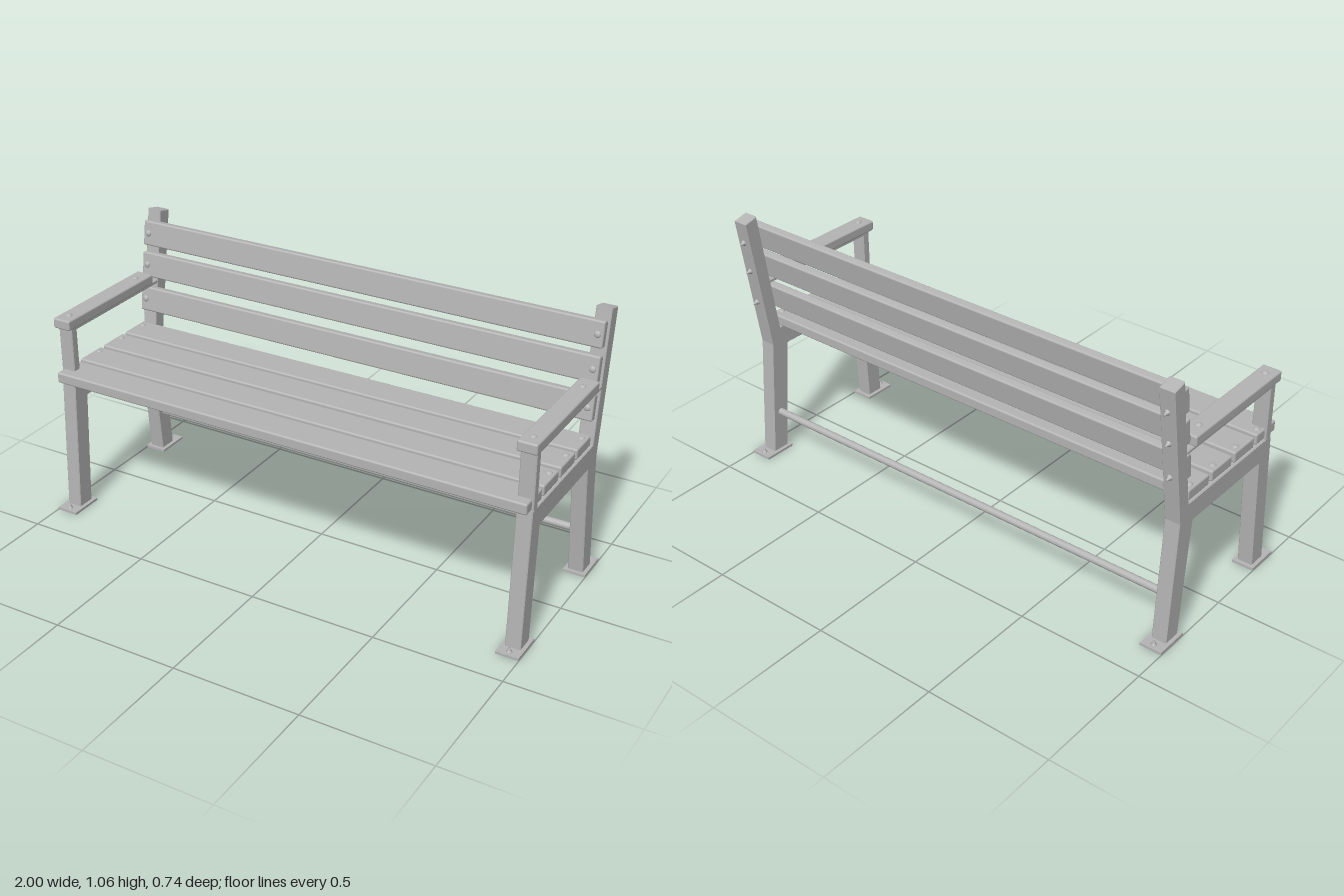
import * as THREE from 'three';
import { RoundedBoxGeometry } from 'three/addons/geometries/RoundedBoxGeometry.js';

const grey = new THREE.MeshStandardMaterial({ color: 0xb4b4b4 });
grey.name = 'plain grey';

const FRAME_X = 0.955;                 // centre of each side frame
const FRAME_W = 0.06;
const LEAN = Math.atan(0.148);         // backward lean of the back posts
const postFront = (y) => -0.232 - 0.148 * (y - 0.555);

function add(parent, name, geometry, x = 0, y = 0, z = 0, tilt = 0) {
  const mesh = new THREE.Mesh(geometry, grey);
  mesh.name = name;
  mesh.position.set(x, y, z);
  mesh.rotation.x = tilt;
  parent.add(mesh);
  return mesh;
}

// Side profile given as (z, y) points, extruded across x with softened edges
function profile(points, width) {
  const b = 0.003;
  const shape = new THREE.Shape(points.map(([z, y]) => new THREE.Vector2(z, y)));
  const g = new THREE.ExtrudeGeometry(shape, {
    depth: width - 2 * b, bevelThickness: b, bevelSize: b, bevelOffset: -b, bevelSegments: 1,
  });
  g.translate(0, 0, -(width - 2 * b) / 2);
  return g.rotateY(-Math.PI / 2);
}

// Shallow domed bolt head, pointing up +y before tilting
const domeGeo = new THREE.SphereGeometry(0.013, 20, 6, 0, Math.PI * 2, 0, Math.PI / 2).scale(1, 0.55, 1);

// Washer, nut and threaded end, pointing up +y before tilting
const nutGeo = new THREE.LatheGeometry(
  [[0.011, 0], [0.011, 0.003], [0.007, 0.005], [0.006, 0.011], [0.004, 0.012], [0.003, 0.019], [0, 0.019]]
    .map(([r, y]) => new THREE.Vector2(r, y)), 12);

function sideFrame(side) {
  const g = new THREE.Group();
  g.name = side > 0 ? 'leftSideFrame' : 'rightSideFrame';
  const x = side * FRAME_X;

  // Legs, seat rail and leaning back post in one piece
  add(g, 'legFrame', profile([
    [0.322, 0.008], [0.297, 0.555], [-0.232, 0.555], [-0.307, 1.06], [-0.366, 1.046],
    [-0.28, 0.496], [-0.316, 0.008], [-0.244, 0.008], [-0.198, 0.47], [0.226, 0.47], [0.25, 0.008],
  ], FRAME_W), x);

  // Armrest bracket and wooden armrest
  add(g, 'armBracket', profile([
    [0.293, 0.55], [0.293, 0.777], [-0.268, 0.777], [-0.268, 0.762], [0.26, 0.762], [0.26, 0.55],
  ], FRAME_W), x);
  add(g, 'armrest', new RoundedBoxGeometry(0.075, 0.041, 0.54, 3, 0.007), x, 0.795, 0.045);
  for (const z of [0.265, -0.157]) add(g, 'armrestBolt', domeGeo, x, 0.815, z);

  // Floor plates with anchor bolts
  for (const [z, boltZ] of [[0.302, 0.35], [-0.298, -0.345]]) {
    add(g, 'footPlate', new THREE.BoxGeometry(0.088, 0.01, 0.136), x, 0.005, z);
    add(g, 'anchorBolt', nutGeo, x, 0.01, boltZ);
  }
  return g;
}

export function createModel() {
  const bench = new THREE.Group();
  bench.name = 'bench';
  bench.add(sideFrame(1), sideFrame(-1));

  // Seat slats; the middle two show their nuts under the rail
  [0.271, 0.128, -0.017, -0.161].forEach((z, i) => {
    add(bench, 'seatSlat', new RoundedBoxGeometry(1.955, 0.043, 0.128, 3, 0.007), 0, 0.5765, z);
    for (const s of [1, -1]) {
      const boltZ = z - 0.028;
      add(bench, 'seatBolt', domeGeo, s * FRAME_X, 0.597, boltZ);
      if (i === 1 || i === 2) add(bench, 'seatNut', nutGeo, s * FRAME_X, 0.471, boltZ, Math.PI);
    }
  });

  // Back slats, tilted with the posts, bolted through
  for (const y of [0.97, 0.843, 0.702]) {
    const slat = new THREE.Group();
    slat.name = 'backSlatAssembly';
    slat.position.set(0, y, postFront(y) + 0.017);
    slat.rotation.x = -LEAN;
    add(slat, 'backSlat', new RoundedBoxGeometry(1.955, 0.1, 0.034, 3, 0.007));
    for (const s of [1, -1]) {
      add(slat, 'backBolt', domeGeo, s * FRAME_X, 0, 0.017, Math.PI / 2);
      add(slat, 'backNut', nutGeo, s * FRAME_X, 0, -0.077, -Math.PI / 2);
    }
    bench.add(slat);
  }

  // Round stretcher between the rear legs
  const rod = new THREE.CylinderGeometry(0.0145, 0.0145, 1.87, 24).rotateZ(Math.PI / 2);
  add(bench, 'rearStretcher', rod, 0, 0.178, -0.265);

  return bench;
}
